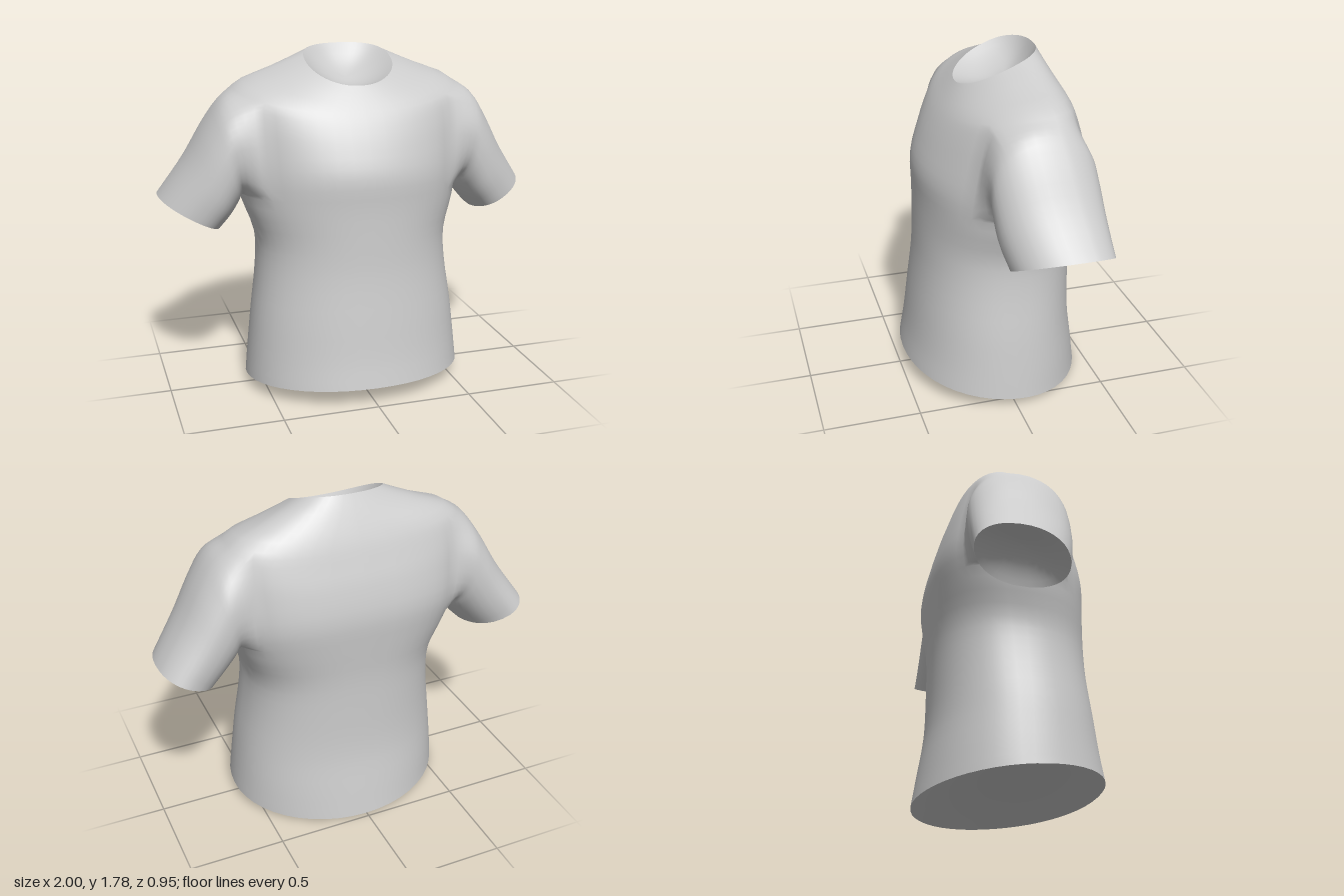
import * as THREE from 'three';

const COLS = 48, STEPS = 3;          // columns around the body, rows per body section
const ARM_LOW = 16, ARM_HIGH = 27;   // body rows bounding the armhole
const ARM_COLS = 5;                  // armhole half width in columns
const SLEEVE_STEPS = 15;
const LINING_STEPS = 8;

// Body sections from hem to neckline:
// [half width, side y, side z, front y, front z, back y, back z, back roundness]
const SECTIONS = [
  [0.588, 0.05, 0.00, 0.095, 0.48, 0.00, -0.475, 1],
  [0.573, 0.20, 0.00, 0.23, 0.455, 0.16, -0.45, 0.95],
  [0.55, 0.40, 0.00, 0.42, 0.43, 0.38, -0.418, 0.9],
  [0.515, 0.65, -0.01, 0.66, 0.40, 0.65, -0.412, 0.85],
  [0.512, 0.82, -0.02, 0.84, 0.39, 0.85, -0.415, 0.8],
  [0.57, 1.00, -0.06, 1.02, 0.385, 1.03, -0.43, 0.73],
  [0.60, 1.15, -0.10, 1.18, 0.385, 1.20, -0.44, 0.67],
  [0.61, 1.35, -0.10, 1.32, 0.34, 1.36, -0.41, 0.64],
  [0.61, 1.50, -0.10, 1.42, 0.295, 1.47, -0.375, 0.64],
  [0.595, 1.585, -0.10, 1.49, 0.255, 1.57, -0.34, 0.68],
  [0.41, 1.66, -0.09, 1.56, 0.205, 1.68, -0.29, 0.8],
  [0.23, 1.72, -0.05, 1.61, 0.165, 1.78, -0.24, 0.85],
];

// Sleeve sections from shoulder to cuff:
// [top x, top y, bottom x, bottom y, front z, back z, backward lean of the top]
const SLEEVE = [
  [0.67, 1.535, 0.585, 1.035, 0.165, -0.35, 0],
  [0.75, 1.425, 0.605, 1.00, 0.165, -0.355, 0.01],
  [0.86, 1.235, 0.645, 0.945, 0.15, -0.355, 0.03],
  [1.00, 1.035, 0.70, 0.88, 0.11, -0.355, 0.05],
];

// Cosine and sine bent towards a squarer outline as the power drops
const bend = (v, power) => Math.sign(v) * Math.abs(v) ** power;

function bodyPoint([w, sy, sz, fy, fz, by, bz, backPower], angle) {
  const power = Math.sin(angle) > 0 ? 0.95 : backPower;
  const c = bend(Math.cos(angle), power), s = bend(Math.sin(angle), power);
  return new THREE.Vector3(
    w * c,
    sy + s * (fy - by) / 2 + s * s * ((fy + by) / 2 - sy),
    sz + Math.abs(s) * ((s > 0 ? fz : bz) - sz)
  );
}

function sleevePoint([tx, ty, bx, by, fz, bz, lean], angle, side) {
  const c = bend(Math.cos(angle), 0.93), s = bend(Math.sin(angle), 0.93);
  return new THREE.Vector3(
    side * ((tx + bx) / 2 + s * (tx - bx) / 2),
    (ty + by) / 2 + s * (ty - by) / 2,
    (fz + bz) / 2 + c * (fz - bz) / 2 - s * lean
  );
}

const quad = (list, a, b, c, d, flip) =>
  flip ? list.push(a, c, b, a, d, c) : list.push(a, b, c, a, c, d);

// Shallow dish closing an opening, sunk by the given vector at its centre
function liningGeometry(rim, sink) {
  const centre = rim.reduce((sum, p) => sum.add(p), new THREE.Vector3()).divideScalar(rim.length);
  const points = [], faces = [], n = rim.length;
  for (let i = 0; i <= LINING_STEPS; i++) {
    const r = 1 - i / LINING_STEPS;
    for (const p of rim) {
      points.push(centre.clone().lerp(p, r).addScaledVector(sink, 1 - r * r));
    }
  }
  for (let i = 0; i < LINING_STEPS; i++) {
    for (let k = 0; k < n; k++) {
      const next = (k + 1) % n;
      quad(faces, i * n + k, (i + 1) * n + k, (i + 1) * n + next, i * n + next);
    }
  }
  const geometry = new THREE.BufferGeometry().setFromPoints(points);
  geometry.setIndex(faces);
  geometry.computeVertexNormals();
  return geometry;
}

export function createModel() {
  const points = [];
  const rows = (SECTIONS.length - 1) * STEPS;
  const wrap = (j) => (j + COLS) % COLS;
  const bodyId = (i, j) => wrap(j) * (rows + 1) + i;

  // Body surface: a smooth curve up each column
  for (let j = 0; j < COLS; j++) {
    const angle = (j / COLS) * Math.PI * 2;
    const curve = new THREE.CatmullRomCurve3(
      SECTIONS.map((section) => bodyPoint(section, angle)), false, 'centripetal');
    for (let i = 0; i <= rows; i++) points.push(curve.getPoint(i / rows));
  }

  // Body faces, leaving an armhole on each side
  const bodyFaces = [];
  for (let j = 0; j < COLS; j++) {
    const inArmColumns = [0, COLS / 2].some(
      (middle) => wrap(j + ARM_COLS - middle) < 2 * ARM_COLS);
    for (let i = 0; i < rows; i++) {
      if (inArmColumns && i >= ARM_LOW && i < ARM_HIGH) continue;
      quad(bodyFaces, bodyId(i, j), bodyId(i + 1, j), bodyId(i + 1, j + 1), bodyId(i, j + 1));
    }
  }

  // Sleeve: curves running from the armhole edge out to the cuff
  function buildSleeve(side) {
    const column = (j) => (side > 0 ? j : COLS / 2 - j);
    const loop = [];
    for (let i = ARM_LOW; i < ARM_HIGH; i++) loop.push(bodyId(i, column(ARM_COLS)));
    for (let j = ARM_COLS; j > -ARM_COLS; j--) loop.push(bodyId(ARM_HIGH, column(j)));
    for (let i = ARM_HIGH; i > ARM_LOW; i--) loop.push(bodyId(i, column(-ARM_COLS)));
    for (let j = -ARM_COLS; j < ARM_COLS; j++) loop.push(bodyId(ARM_LOW, column(j)));

    const strands = loop.map((id) => {
      const p = points[id];
      const angle = Math.atan2((p.y - 1.31) / 0.27, (p.z + 0.1) / 0.25);
      const curve = new THREE.CatmullRomCurve3(
        [p, ...SLEEVE.map((section) => sleevePoint(section, angle, side))], false, 'centripetal');
      const strand = [id];
      for (let s = 1; s <= SLEEVE_STEPS; s++) {
        strand.push(points.push(curve.getPoint(s / SLEEVE_STEPS)) - 1);
      }
      return strand;
    });

    const faces = [];
    strands.forEach((a, k) => {
      const b = strands[(k + 1) % strands.length];
      for (let s = 0; s < SLEEVE_STEPS; s++) {
        quad(faces, a[s], a[s + 1], b[s + 1], b[s], side < 0);
      }
    });
    return { faces, cuff: strands.map((strand) => points[strand[SLEEVE_STEPS]]) };
  }

  const left = buildSleeve(1), right = buildSleeve(-1);
  const parts = { body: bodyFaces, leftSleeve: left.faces, rightSleeve: right.faces };

  // Shared normals keep the shoulder joins smooth
  const whole = new THREE.BufferGeometry().setFromPoints(points);
  whole.setIndex(Object.values(parts).flat());
  whole.computeVertexNormals();

  const cloth = new THREE.MeshStandardMaterial({ color: 0xcccccc, side: THREE.DoubleSide });
  const shirt = new THREE.Group();
  shirt.name = 'shirt';
  function addPart(name, geometry) {
    const mesh = new THREE.Mesh(geometry, cloth);
    mesh.name = name;
    shirt.add(mesh);
  }

  for (const [name, faces] of Object.entries(parts)) {
    const geometry = new THREE.BufferGeometry();
    geometry.setAttribute('position', whole.attributes.position);
    geometry.setAttribute('normal', whole.attributes.normal);
    geometry.setIndex(faces);
    addPart(name, geometry);
  }

  // Linings sunk into the hem, neck and cuffs
  const bodyRing = (i) => Array.from({ length: COLS }, (_, j) => points[bodyId(i, j)]);
  addPart('hemLining', liningGeometry(bodyRing(0), new THREE.Vector3(0, 0.14, 0)));
  addPart('neckLining', liningGeometry(bodyRing(rows), new THREE.Vector3(0, -0.09, -0.04)));
  addPart('leftCuffLining', liningGeometry(left.cuff, new THREE.Vector3(-0.04, 0.07, 0)));
  addPart('rightCuffLining', liningGeometry(right.cuff, new THREE.Vector3(0.04, 0.07, 0)));
  return shirt;
}
